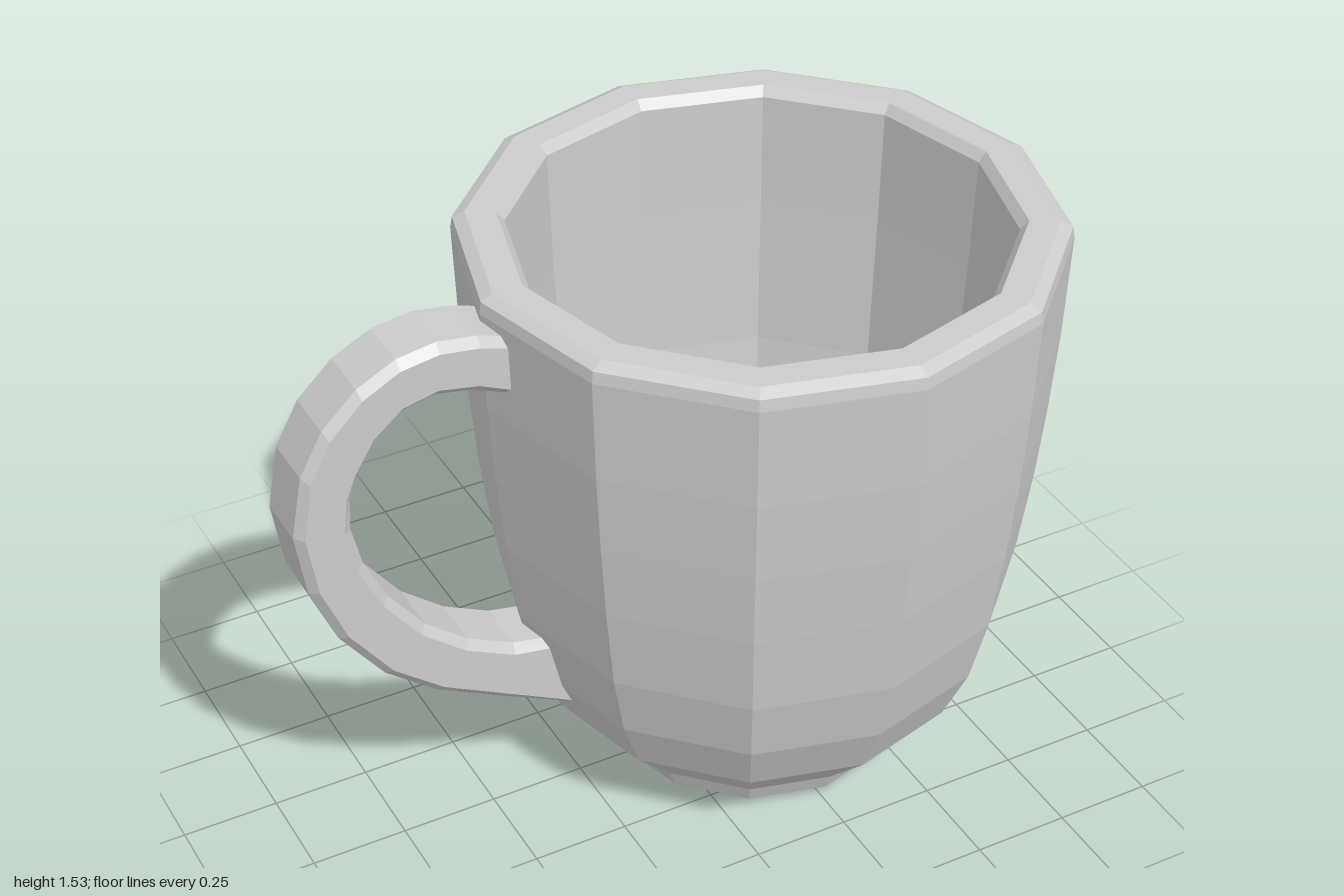
import * as THREE from 'three';

const CUP_X = 0.26; // the cup sits off-centre to leave room for the handle

// Twelve-sided cup: outer wall, rounded rim, inner wall and floor in one profile
function makeCup(material) {
  const profile = [
    [0, 0], [0.35, 0], [0.39, 0.03], [0.41, 0.08], [0.56, 0.24], [0.625, 0.39],
    [0.667, 0.57], [0.697, 0.8], [0.715, 1.0], [0.73, 1.22], [0.74, 1.49],
    [0.735, 1.52], [0.705, 1.535], [0.63, 1.535], [0.61, 1.51],
    [0.6, 1.22], [0.58, 0.8], [0.55, 0.57], [0.51, 0.39], [0.44, 0.23], [0.41, 0.2], [0, 0.2],
  ].map(([r, y]) => new THREE.Vector2(r, y));
  const cup = new THREE.Mesh(new THREE.LatheGeometry(profile, 12), material);
  cup.name = 'cup';
  cup.position.x = CUP_X;
  return cup;
}

// Handle: chamfered rectangular sections swept between an outer and an inner curve
function makeHandle(material) {
  const halfWidth = 0.092, bevel = 0.022;
  // outer x, y and inner x, y of each section, from the top joint to the bottom one
  const stations = [
    [-0.43, 1.455, -0.43, 1.295], [-0.52, 1.485, -0.53, 1.34], [-0.62, 1.5, -0.63, 1.36],
    [-0.72, 1.485, -0.72, 1.34], [-0.82, 1.435, -0.79, 1.28], [-0.91, 1.35, -0.835, 1.2],
    [-0.97, 1.24, -0.855, 1.14], [-1.0, 1.08, -0.86, 1.06], [-0.975, 0.91, -0.835, 0.95],
    [-0.91, 0.75, -0.78, 0.83], [-0.8, 0.6, -0.69, 0.71], [-0.67, 0.495, -0.58, 0.62],
    [-0.5, 0.405, -0.46, 0.56], [-0.29, 0.3, -0.36, 0.54],
  ];
  const positions = [], index = [];
  stations.forEach(([ox, oy, ix, iy], i) => {
    const outer = new THREE.Vector2(ox, oy), inner = new THREE.Vector2(ix, iy);
    const t = bevel / outer.distanceTo(inner);
    // each corner: fraction from outer to inner, and z
    const w = halfWidth, n = w - bevel;
    const corners = [[0, -n], [0, n], [t, w], [1 - t, w], [1, n], [1, -n], [1 - t, -w], [t, -w]];
    corners.forEach(([f, z], k) => {
      const p = outer.clone().lerp(inner, f);
      positions.push(p.x, p.y, z);
      if (i === stations.length - 1) return;
      const a = i * 8 + k, d = i * 8 + (k + 1) % 8;
      index.push(a, a + 8, d, d, a + 8, d + 8);
    });
  });
  // close the two ends buried in the cup wall
  const last = (stations.length - 1) * 8;
  for (let k = 1; k < 7; k++) {
    index.push(0, k, k + 1, last, last + k + 1, last + k);
  }
  const geometry = new THREE.BufferGeometry();
  geometry.setAttribute('position', new THREE.Float32BufferAttribute(positions, 3));
  geometry.setIndex(index);
  geometry.computeVertexNormals();
  const handle = new THREE.Mesh(geometry, material);
  handle.name = 'handle';
  return handle;
}

export function createModel() {
  const material = new THREE.MeshStandardMaterial({ color: 0xcccccc, flatShading: true });
  const mug = new THREE.Group();
  mug.name = 'mug';
  mug.add(makeCup(material), makeHandle(material));
  return mug;
}
